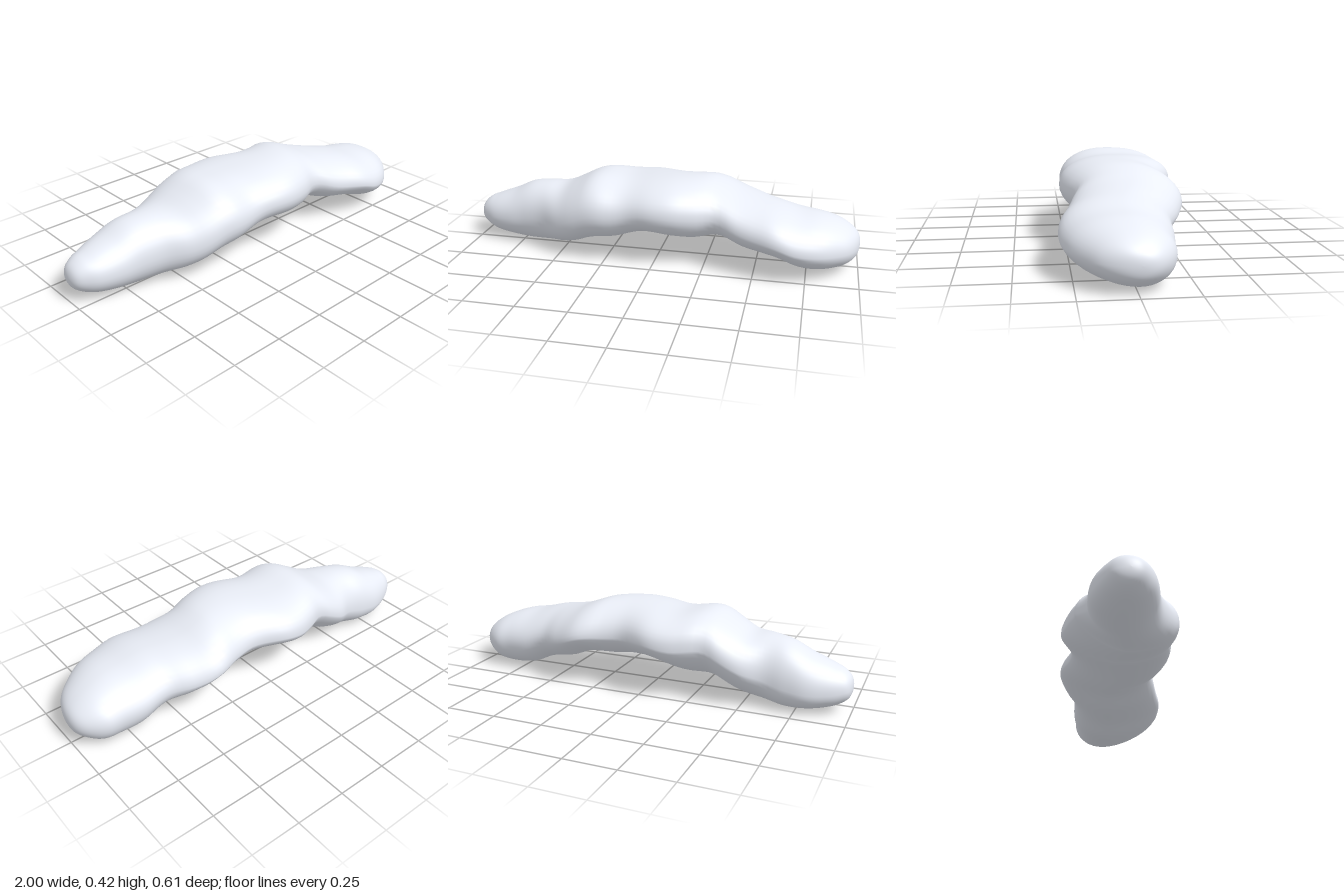
import * as THREE from 'three';

// Profiles along the length as [x, value] pairs, closing to a pole at each end
const top = [[-1, .13], [-.99, .175], [-.95, .212], [-.9, .232], [-.8, .27], [-.7, .315], [-.6, .33], [-.5, .335], [-.4, .38], [-.34, .41],
  [-.28, .42], [-.15, .407], [0, .42], [.1, .425], [.25, .42], [.32, .40], [.4, .37], [.5, .345], [.6, .325], [.7, .3], [.8, .285],
  [.88, .26], [.95, .222], [.99, .18], [1, .135]];
const bottom = [[-1, .13], [-.99, .085], [-.95, .05], [-.9, .03], [-.8, .01], [-.7, .003], [-.6, .012], [-.45, .035], [-.33, .08],
  [-.2, .095], [-.05, .14], [.1, .135], [.2, .127], [.33, .135], [.45, .09], [.6, .06], [.7, .02], [.8, .008], [.9, .02],
  [.95, .045], [.99, .085], [1, .135]];
const back = [[-1, -.065], [-.99, -.122], [-.95, -.16], [-.9, -.185], [-.8, -.215], [-.7, -.215], [-.6, -.208], [-.5, -.243], [-.4, -.255],
  [-.32, -.252], [-.25, -.277], [-.15, -.302], [-.05, -.3], [.1, -.243], [.2, -.25], [.34, -.29], [.47, -.25], [.57, -.2],
  [.7, -.19], [.8, -.175], [.88, -.165], [.95, -.12], [.99, -.065], [1, -.01]];
const front = [[-1, -.065], [-.99, -.02], [-.95, .02], [-.9, .05], [-.8, .08], [-.7, .1], [-.6, .13], [-.5, .19], [-.4, .235], [-.28, .258],
  [-.13, .245], [0, .27], [.1, .27], [.2, .245], [.3, .21], [.4, .24], [.5, .27], [.6, .3], [.7, .3], [.8, .27], [.9, .2],
  [.95, .15], [.99, .065], [1, -.01]];
// Where the widest and highest points of each section sit, as fractions of its size
const frontHeight = [[-1, .5], [-.5, .5], [0, .5], [.4, .48], [.65, .5], [1, .5]];
const backHeight = [[-1, .45], [-.7, .38], [-.4, .55], [-.1, .5], [.35, .47], [.6, .5], [1, .5]];
const crest = [[-1, .5], [-.5, .5], [0, .53], [.4, .45], [.7, .45], [1, .5]];
const keel = [[-1, .5], [-.7, .45], [-.3, .5], [.3, .52], [.7, .36], [1, .5]];
// Fullness of the section quarters: below 1 is boxier, above 1 is flatter
const upperBack = [[-1, .95], [-.5, .92], [-.2, .77], [0, .85], [.35, 1.02], [1, .95]];
const lowerBack = [[-1, 1], [-.7, 1], [-.45, 1.3], [.1, 1.25], [.4, 1.3], [.65, 1], [1, 1]];
const lowerFront = [[-1, 1], [.25, 1], [.6, 1.25], [.8, 1.15], [1, 1]];

// Smooth interpolation by the angle whose cosine is x, which rounds the ends
const angle = (x) => Math.acos(-x);
function sample(p, x) {
  let i = 0;
  while (i < p.length - 2 && x > p[i + 1][0]) i++;
  const slope = (k) => {
    const a = p[Math.max(k - 1, 0)], b = p[Math.min(k + 1, p.length - 1)];
    return (b[1] - a[1]) / (angle(b[0]) - angle(a[0]));
  };
  const start = angle(p[i][0]), h = angle(p[i + 1][0]) - start;
  const t = (angle(x) - start) / h, s = 1 - t;
  return p[i][1] * (1 + 2 * t) * s * s + p[i + 1][1] * (3 - 2 * t) * t * t
    + h * t * s * (slope(i) * s - slope(i + 1) * t);
}

function bodyGeometry(rings = 110, sides = 40) {
  const pos = [], index = [];
  const mix = THREE.MathUtils.lerp;
  for (let r = 0; r <= rings; r++) {
    // Rings crowd together toward the rounded ends
    const x = -Math.cos(Math.PI * r / rings);
    const yT = sample(top, x), yB = sample(bottom, x), zB = sample(back, x), zF = sample(front, x);
    const yFront = mix(yB, yT, sample(frontHeight, x)), yBack = mix(yB, yT, sample(backHeight, x));
    const zTop = mix(zB, zF, sample(crest, x)), zLow = mix(zB, zF, sample(keel, x));
    const eUB = sample(upperBack, x), eLB = sample(lowerBack, x), eLF = sample(lowerFront, x);
    for (let s = 0; s < sides; s++) {
      // Each section is four rounded quarters joined at its extremes
      const a = s / sides * Math.PI * 2, c = Math.cos(a), n = Math.sin(a);
      const cz = n >= 0 ? zTop : zLow, cy = c >= 0 ? yFront : yBack;
      const e = n >= 0 ? (c >= 0 ? .92 : eUB) : (c >= 0 ? eLF : eLB);
      const u = Math.sign(c) * Math.abs(c) ** e, v = Math.sign(n) * Math.abs(n) ** e;
      pos.push(x, cy + v * (n >= 0 ? yT - cy : cy - yB), cz + u * (c >= 0 ? zF - cz : cz - zB));
    }
  }
  for (let r = 0; r < rings; r++) for (let s = 0; s < sides; s++) {
    const a = r * sides + s, b = r * sides + (s + 1) % sides;
    if (r > 0) index.push(a, a + sides, b);
    if (r < rings - 1) index.push(b, a + sides, b + sides);
    else index.push(a, a + sides, b);
  }
  const g = new THREE.BufferGeometry();
  g.setAttribute('position', new THREE.Float32BufferAttribute(pos, 3));
  g.setIndex(index);
  g.computeVertexNormals();
  return g;
}

export function createModel() {
  const group = new THREE.Group();
  group.name = 'lumpyArch';
  const body = new THREE.Mesh(bodyGeometry(), new THREE.MeshStandardMaterial({ color: 0xe9edf6 }));
  body.name = 'body';
  group.add(body);
  return group;
}
